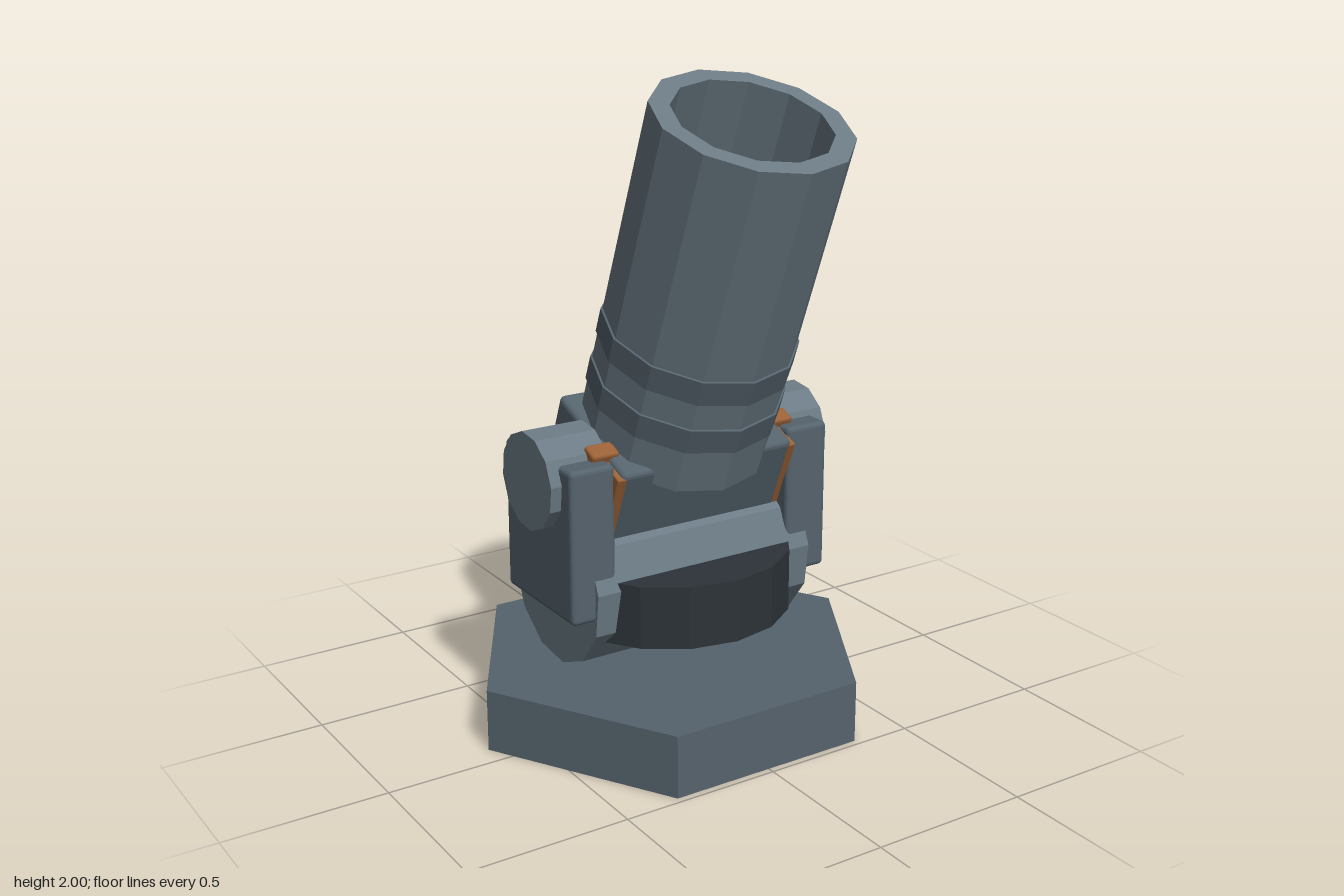
import * as THREE from 'three';
import { RoundedBoxGeometry } from 'three/addons/geometries/RoundedBoxGeometry.js';

const mat = (color) => new THREE.MeshStandardMaterial({ color, flatShading: true });

export function createModel() {
  const model = new THREE.Group();
  const steel = mat(0x6b7a84);
  const darkSteel = mat(0x55636d);
  const black = mat(0x2c3338);
  const brown = mat(0x9a6136);
  const green = mat(0x9ac45c);

  const add = (parent, name, geometry, material, x = 0, y = 0, z = 0) => {
    const mesh = new THREE.Mesh(geometry, material);
    mesh.name = name;
    mesh.position.set(x, y, z);
    parent.add(mesh);
    return mesh;
  };
  const box = (w, h, d, r = 0.012) => new RoundedBoxGeometry(w, h, d, 2, r);
  const lathe = (points) =>
    new THREE.LatheGeometry(points.map(([r, y]) => new THREE.Vector2(r, y)), 12);
  const axle = (radius, length) =>
    new THREE.CylinderGeometry(radius, radius, length, 12).rotateZ(Math.PI / 2);

  // Hexagonal base, corners pointing left and right
  const hexagon = new THREE.CylinderGeometry(0.64, 0.64, 0.195, 6).rotateY(Math.PI / 6);
  add(model, 'base', hexagon, darkSteel, 0, 0.0975, -0.075);

  // Swivel ring around the drum
  add(model, 'swivelRing', new THREE.CylinderGeometry(0.38, 0.38, 0.195, 16), black, 0, 0.4425, -0.07);

  // Sight box on the left side
  add(model, 'sightBox', box(0.2, 0.27, 0.13), green, 0.48, 0.765, -0.395);

  // Everything that tilts with the barrel; origin at the barrel's lower end
  const gun = new THREE.Group();
  gun.name = 'tiltingGun';
  gun.position.set(0, 0.905, -0.04);
  gun.rotation.x = THREE.MathUtils.degToRad(22);
  model.add(gun);

  // Hollow barrel with a dark bore floor
  const length = 1.068, floor = length - 0.7;
  add(gun, 'barrel', lathe([
    [0, 0], [0.29, 0], [0.29, length], [0.23, length], [0.23, floor], [0, floor],
  ]), steel);
  add(gun, 'boreFloor', new THREE.CylinderGeometry(0.228, 0.228, 0.01, 12), black, 0, floor + 0.005, 0);

  // Dark bands near the lower end of the barrel
  for (const y of [0.143, 0.313]) {
    add(gun, 'barrelBand', lathe([
      [0.285, y], [0.296, y + 0.003], [0.296, y + 0.082], [0.285, y + 0.085],
    ]), darkSteel);
  }

  // Breech and elevation drum
  add(gun, 'breech', box(0.6, 0.67, 0.404, 0.018), darkSteel, 0, -0.2825, 0);
  add(gun, 'drum', axle(0.26, 0.76), steel, 0, -0.42, 0.095);

  // Cooling fins at the back
  for (let i = 0; i < 3; i++) {
    add(gun, 'fin', box(0.51, 0.072, 0.24, 0.006), steel, 0, -0.484 - 0.127 * i, -0.16);
  }

  for (const side of [-1, 1]) {
    // Upright bracket and trunnion
    add(model, 'bracket', box(0.148, 0.475, 0.4, 0.015), darkSteel, side * 0.381, 0.6675, -0.07);
    add(gun, 'trunnion', axle(0.15, 0.2), steel, side * 0.39, -0.081, 0);

    // Brown friction plate and its clip
    add(gun, 'frictionPlate', box(0.045, 0.24, 0.25, 0.006), brown, side * 0.2925, -0.082, 0.076);
    add(gun, 'plateClip', box(0.09, 0.045, 0.06, 0.01), brown, side * 0.31, 0.043, 0.084);
  }

  return model;
}
